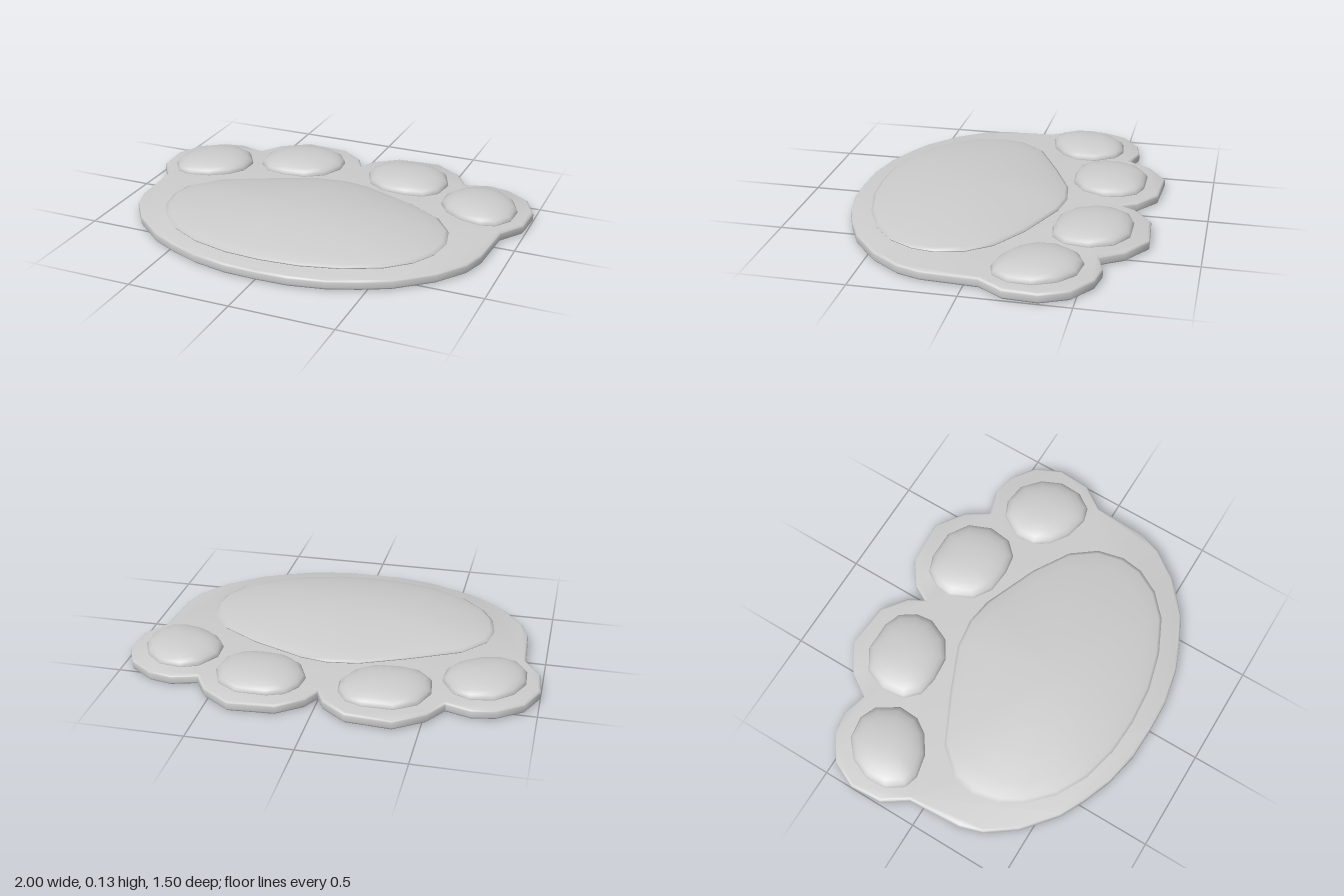
import * as THREE from 'three';
import { toCreasedNormals } from 'three/addons/utils/BufferGeometryUtils.js';

const material = new THREE.MeshStandardMaterial({ color: 0xcccccc });

// Mirror an outline across x = 0, keeping its direction
const mirror = (pts) => pts.map(([x, z]) => [-x, z]).reverse();

// Smooth dome: an [x, z] outline shrunk towards its centre along a [scale, y] profile
function dome(name, outline, [cx, cz], profile, top) {
  const n = outline.length, pos = [], index = [];
  for (const [s, y] of profile) {
    for (const [x, z] of outline) pos.push(cx + (x - cx) * s, y, cz + (z - cz) * s);
  }
  const apex = profile.length * n;
  pos.push(cx, top, cz);
  for (let i = 0; i < profile.length; i++) {
    for (let j = 0; j < n; j++) {
      const a = i * n + j, b = i * n + (j + 1) % n;
      if (i === profile.length - 1) index.push(a, apex, b);
      else index.push(a, a + n, b, b, a + n, b + n);
    }
  }
  const geo = new THREE.BufferGeometry();
  geo.setAttribute('position', new THREE.Float32BufferAttribute(pos, 3));
  geo.setIndex(index);
  geo.computeVertexNormals();
  const mesh = new THREE.Mesh(geo, material);
  mesh.name = name;
  return mesh;
}

// Flat slab with softly rounded rim
function slab() {
  const half = [
    [0.04, -0.65], [0.16, -0.74], [0.38, -0.755], [0.52, -0.66], [0.59, -0.55],
    [0.71, -0.585], [0.82, -0.565], [0.94, -0.48], [1, -0.35], [0.99, -0.19],
    [0.91, -0.07], [0.895, 0.2], [0.86, 0.31], [0.76, 0.45], [0.6, 0.585],
    [0.47, 0.65], [0.33, 0.705], [0.16, 0.74],
  ];
  const outline = [[0, -0.57], ...half, [0, 0.745], ...mirror(half)];
  const shape = new THREE.Shape(outline.map(([x, z]) => new THREE.Vector2(x, -z)));
  const geo = new THREE.ExtrudeGeometry(shape, {
    depth: 0.026, bevelEnabled: true, bevelThickness: 0.012,
    bevelSize: 0.014, bevelOffset: -0.014, bevelSegments: 3,
  });
  geo.rotateX(-Math.PI / 2).translate(0, 0.012, 0);
  const mesh = new THREE.Mesh(toCreasedNormals(geo, 0.9), material);
  mesh.name = 'base';
  return mesh;
}

export function createModel() {
  const group = new THREE.Group();
  group.name = 'paw';
  group.add(slab());

  // Large central pad
  const pad = [
    [0.02, -0.31], [0.15, -0.29], [0.42, -0.18], [0.6, -0.07], [0.69, 0.05], [0.72, 0.18],
    [0.705, 0.29], [0.64, 0.41], [0.53, 0.51], [0.36, 0.59], [0.17, 0.64], [-0.02, 0.655],
    [-0.2, 0.645], [-0.38, 0.6], [-0.53, 0.52], [-0.65, 0.4], [-0.705, 0.3], [-0.73, 0.17],
    [-0.71, 0.06], [-0.6, -0.07], [-0.36, -0.19], [-0.13, -0.29],
  ];
  group.add(dome('mainPad', pad, [0, 0.2], [
    [0.95, 0.046], [0.99, 0.054], [1, 0.062], [0.97, 0.072], [0.86, 0.086],
    [0.68, 0.104], [0.45, 0.12], [0.22, 0.129],
  ], 0.131));

  // Toe pads, mirrored to both sides
  const toeProfile = [
    [0.98, 0.046], [1, 0.056], [0.95, 0.072], [0.85, 0.086],
    [0.68, 0.099], [0.45, 0.108], [0.22, 0.112],
  ];
  const toes = {
    InnerToe: { centre: [0.3, -0.48], pts: [
      [0.22, -0.665], [0.37, -0.665], [0.47, -0.6], [0.515, -0.49], [0.5, -0.375], [0.435, -0.31],
      [0.34, -0.295], [0.22, -0.305], [0.13, -0.365], [0.08, -0.475], [0.09, -0.56], [0.14, -0.635],
    ] },
    OuterToe: { centre: [0.74, -0.3], pts: [
      [0.69, -0.5], [0.8, -0.485], [0.885, -0.41], [0.93, -0.31], [0.925, -0.2], [0.87, -0.12],
      [0.8, -0.1], [0.69, -0.125], [0.6, -0.185], [0.55, -0.26], [0.545, -0.36], [0.61, -0.465],
    ] },
  };
  for (const [name, { centre: [cx, cz], pts }] of Object.entries(toes)) {
    group.add(dome('left' + name, pts, [cx, cz], toeProfile, 0.113));
    group.add(dome('right' + name, mirror(pts), [-cx, cz], toeProfile, 0.113));
  }
  return group;
}
